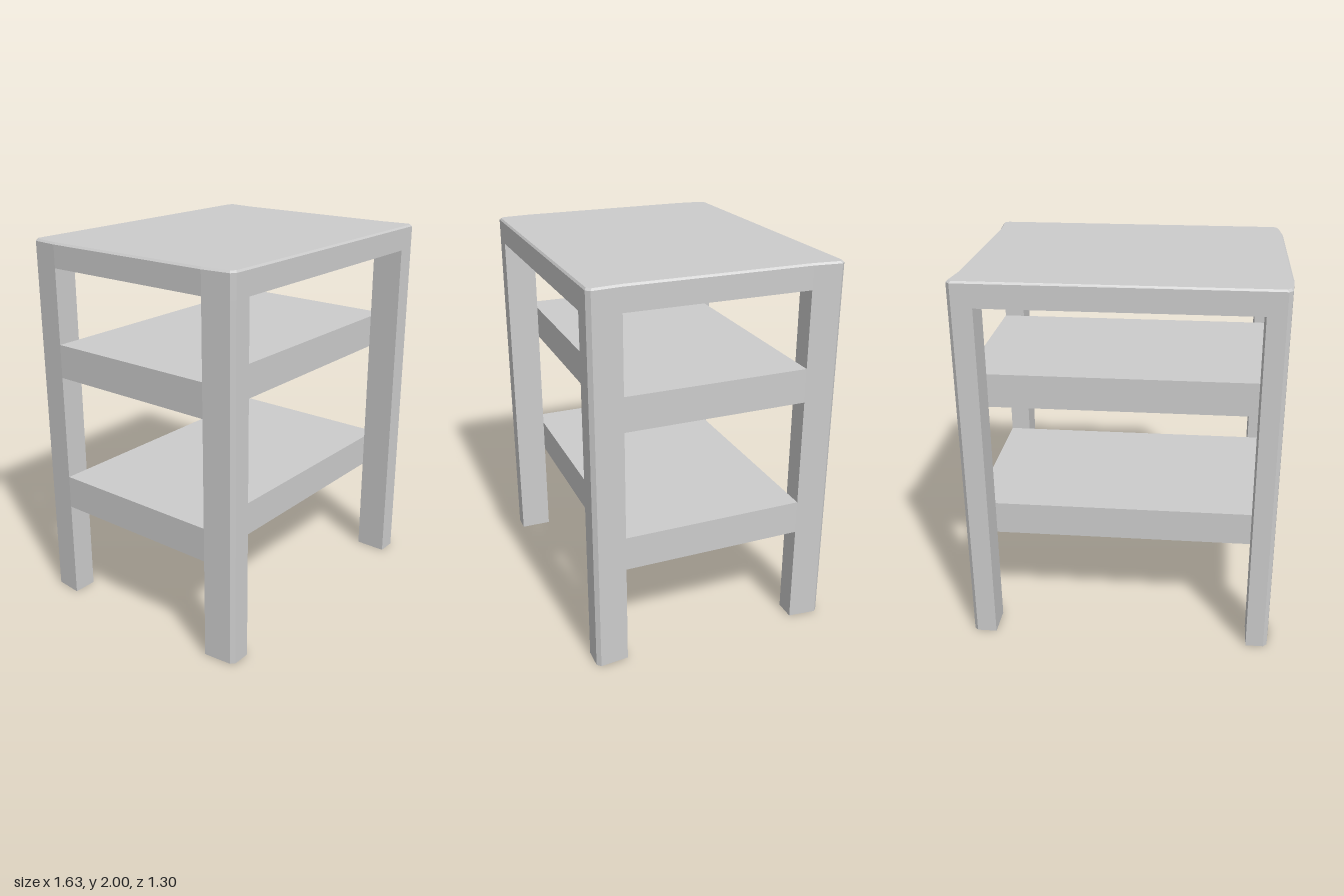
import * as THREE from 'three';

const material = new THREE.MeshStandardMaterial({
  color: 0xcccccc, flatShading: true, side: THREE.DoubleSide,
});

// Walls through a stack of closed rings; each ring is { y, points: [[x, z], ...] }, clockwise seen from above
function walls(rings) {
  const pos = [], index = [], n = rings[0].points.length;
  for (const { y, points } of rings) for (const [x, z] of points) pos.push(x, y, z);
  for (let r = 0; r < rings.length - 1; r++) {
    for (let i = 0; i < n; i++) {
      const a = r * n + i, b = r * n + (i + 1) % n;
      index.push(a, a + n, b, b, a + n, b + n);
    }
  }
  const geometry = new THREE.BufferGeometry();
  geometry.setAttribute('position', new THREE.Float32BufferAttribute(pos, 3));
  geometry.setIndex(index);
  geometry.computeVertexNormals();
  return geometry;
}

function add(group, name, geometry) {
  const mesh = new THREE.Mesh(geometry, material);
  mesh.name = name;
  group.add(mesh);
  return mesh;
}

const TOP = 2, APRON = 1.87, LEG_Z = 0.48, LEG_X = 0.69;

// Outer corner of each leg, from the side edge round the chamfer to the front edge
const corners = {
  right: [[-0.82, LEG_Z], [-0.805, 0.63], [-0.785, 0.65]],
  left: [[0.8, LEG_Z], [0.815, 0.63], [0.795, 0.65]],
};
const flipZ = (points) => points.map(([x, z]) => [x, -z]);
const scaled = (points, k) => points.map(([x, z]) => [x * k, z * k]);

export function createModel() {
  const model = new THREE.Group();
  model.name = 'sideTable';

  // Tabletop: a thin shell with a small rim bevel and a hanging apron
  const outline = [
    ...corners.right,
    ...[...corners.left].reverse(),
    ...flipZ(corners.left),
    ...flipZ(corners.right).reverse(),
  ];
  const inset = scaled(outline, 0.988);
  add(model, 'apron', walls([
    { y: APRON, points: outline },
    { y: TOP - 0.01, points: outline },
    { y: TOP, points: inset },
  ]));
  const shape = new THREE.Shape(inset.map(([x, z]) => new THREE.Vector2(x, -z)));
  const panel = new THREE.ShapeGeometry(shape).rotateX(-Math.PI / 2);
  add(model, 'tabletop', panel).position.y = TOP;

  // Four hollow legs, open at the floor, with a chamfered outer corner
  for (const side of ['left', 'right']) {
    const inner = side === 'left' ? LEG_X : -LEG_X;
    const front = [...corners[side], [inner, 0.65], [inner, LEG_Z]];
    for (const end of ['front', 'back']) {
      let points = end === 'front' ? front : flipZ(front);
      // keep the winding outward on mirrored legs
      if ((side === 'left') === (end === 'front')) points = [...points].reverse();
      add(model, `${end}${side === 'left' ? 'Left' : 'Right'}Leg`,
        walls([{ y: 0, points }, { y: APRON, points }]));
    }
  }

  // Two thick shelves, flush with the sides and set back between the legs
  const shelves = { lowerShelf: [0.54, 0.72], upperShelf: [1.29, 1.47] };
  for (const [name, [y0, y1]] of Object.entries(shelves)) {
    const shelf = add(model, name, new THREE.BoxGeometry(1.62, y1 - y0, 2 * LEG_Z));
    shelf.position.set(-0.01, (y0 + y1) / 2, 0);
  }

  return model;
}
